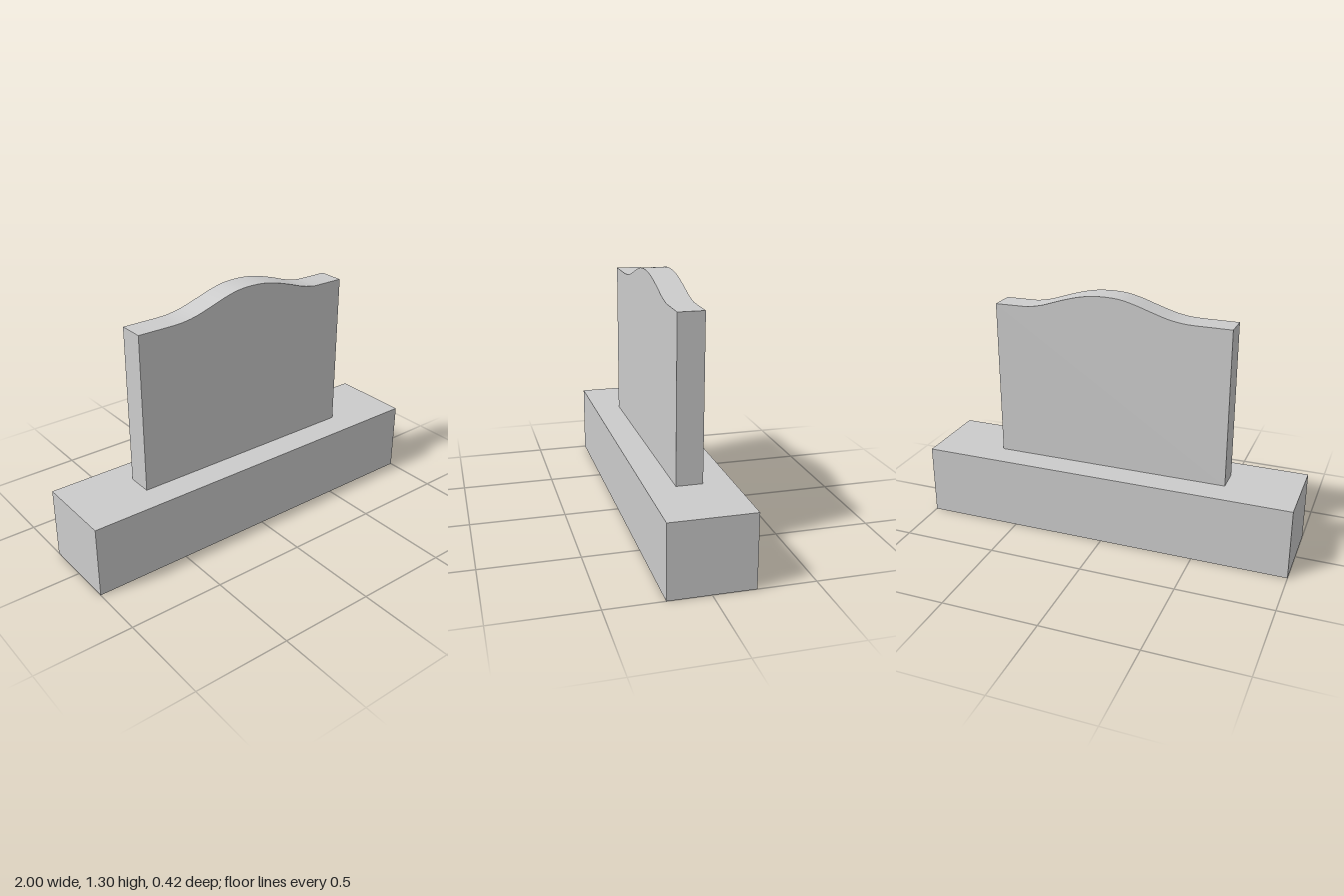
import * as THREE from 'three';
import { toCreasedNormals } from 'three/addons/utils/BufferGeometryUtils.js';

const BASE = { width: 2, height: 0.375, depth: 0.424 };
const SLAB = { left: -0.625, right: 0.63, shoulder: 1.205, depth: 0.133 };

export function createModel() {
  const group = new THREE.Group();
  const material = new THREE.MeshStandardMaterial({ color: 0xcccccc });

  // Plinth block
  const base = new THREE.Mesh(new THREE.BoxGeometry(BASE.width, BASE.height, BASE.depth), material);
  base.name = 'base';
  base.position.y = BASE.height / 2;
  group.add(base);

  // Upright slab with flat shoulders and a gently swelling crown
  const crown = [
    [0.45, 1.207], [0.37, 1.223], [0.28, 1.253], [0.2, 1.277], [0.12, 1.294], [0.035, 1.3],
    [-0.05, 1.295], [-0.13, 1.276], [-0.2, 1.253], [-0.3, 1.222], [-0.38, 1.208], [-0.45, 1.205],
  ].map(([x, y]) => new THREE.Vector2(x, y));
  const outline = new THREE.Shape();
  outline.moveTo(SLAB.left, BASE.height);
  outline.lineTo(SLAB.right, BASE.height);
  outline.lineTo(SLAB.right, SLAB.shoulder);
  outline.lineTo(crown[0].x, crown[0].y);
  outline.splineThru(crown.slice(1));
  outline.lineTo(SLAB.left, SLAB.shoulder);
  outline.closePath();

  const slabGeometry = new THREE.ExtrudeGeometry(outline, {
    depth: SLAB.depth, bevelEnabled: false, curveSegments: 4,
  });
  slabGeometry.translate(0, 0, -SLAB.depth / 2);
  const slab = new THREE.Mesh(toCreasedNormals(slabGeometry, Math.PI / 6), material);
  slab.name = 'uprightSlab';
  group.add(slab);

  return group;
}
